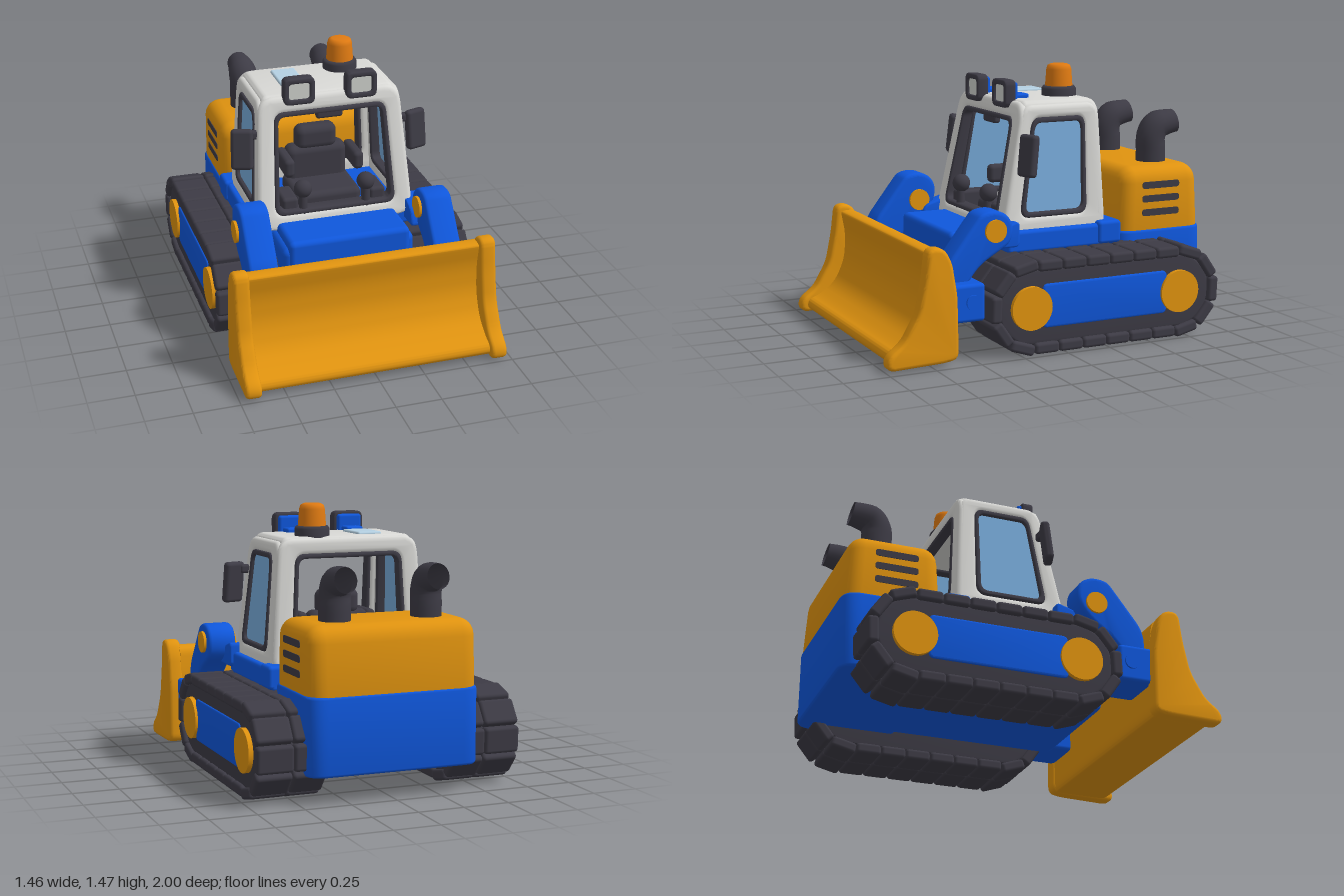
import * as THREE from 'three';
import { toCreasedNormals } from 'three/addons/utils/BufferGeometryUtils.js';
import { RoundedBoxGeometry } from 'three/addons/geometries/RoundedBoxGeometry.js';

const mat = (name, color, side = THREE.FrontSide) =>
  Object.assign(new THREE.MeshStandardMaterial({ color, side }), { name });

export function createModel() {
  const model = new THREE.Group();
  model.name = 'bulldozer';
  const blue = mat('blue paint', 0x0f57dc);
  const orange = mat('orange paint', 0xe0930f);
  const dark = mat('dark rubber', 0x3d3b45, THREE.DoubleSide);
  const white = mat('cab white', 0xd9d9d6);
  const glass = mat('window glass', 0x78acdb, THREE.DoubleSide);
  const sky = mat('skylight glass', 0xb4d0e2);
  const lens = mat('lamp lens', 0xcfd2cd);
  const amber = mat('beacon amber', 0xdf7a12);

  const add = (name, geo, material, parent = model) => {
    const m = new THREE.Mesh(geo, material);
    m.name = name;
    parent.add(m);
    return m;
  };
  // rounded box given by its limits
  const boxGeo = (x0, x1, y0, y1, z0, z1, r) => {
    const g = new RoundedBoxGeometry(Math.abs(x1 - x0), y1 - y0, z1 - z0, 3, r);
    return g.translate((x0 + x1) / 2, (y0 + y1) / 2, (z0 + z1) / 2);
  };
  const box = (name, m, x0, x1, y0, y1, z0, z1, r = 0.02) => add(name, boxGeo(x0, x1, y0, y1, z0, z1, r), m);
  // closed outline with rounded corners
  const outline = (pts, r, path = new THREE.Shape()) => {
    const v = pts.map(p => new THREE.Vector2(...p));
    v.forEach((p, i) => {
      const a = v[(i + v.length - 1) % v.length], b = v[(i + 1) % v.length];
      const toward = q => p.clone().lerp(q, Math.min(0.5, r / p.distanceTo(q)));
      const s = toward(a), e = toward(b);
      if (i) path.lineTo(s.x, s.y); else path.moveTo(s.x, s.y);
      path.quadraticCurveTo(p.x, p.y, e.x, e.y);
    });
    path.closePath();
    return path;
  };
  const rect = (a0, a1, b0, b1) => [[a0, b0], [a1, b0], [a1, b1], [a0, b1]];
  // bevelled slab, centred on its depth
  const slab = (shape, d, b = 0) => {
    const g = new THREE.ExtrudeGeometry(shape, {
      depth: d - 2 * b, bevelEnabled: b > 0, bevelSize: b, bevelThickness: b,
      bevelOffset: -b, bevelSegments: 3, curveSegments: 8,
    });
    return g.translate(0, 0, b - d / 2);
  };
  // slab whose outline is given as (z, y), centred at x
  const sideSlab = (shape, d, b, x) =>
    toCreasedNormals(slab(shape, d, b).rotateY(-Math.PI / 2).translate(x, 0, 0), 0.6);
  const reshape = (g, fn) => {
    const p = g.attributes.position, v = new THREE.Vector3();
    for (let i = 0; i < p.count; i++) {
      fn(v.fromBufferAttribute(p, i));
      p.setXYZ(i, v.x, v.y, v.z);
    }
    return toCreasedNormals(g, 0.6);
  };
  const disc = (r, h, x, y, z) =>
    new THREE.CylinderGeometry(r, r, h, 32).rotateZ(Math.PI / 2).translate(x, y, z);

  // chassis
  box('chassis', blue, -0.37, 0.37, 0.14, 0.56, -0.8, 0.48, 0.04);
  box('front deck', blue, -0.34, 0.34, 0.4, 0.605, 0.18, 0.495, 0.03);
  box('cab sill', blue, -0.48, 0.48, 0.49, 0.61, -0.46, 0.22);
  box('rear sill block', blue, -0.495, 0.495, 0.5, 0.625, -0.46, -0.32);
  const plan = outline(rect(-0.475, 0.475, 0.46, 1), 0.1);
  add('rear body', toCreasedNormals(slab(plan, 0.41, 0.015).rotateX(-Math.PI / 2).translate(0, 0.345, 0), 0.6), blue);

  // engine hood, narrowing in depth toward the top
  add('engine hood', reshape(boxGeo(-0.466, 0.466, 0.44, 0.9, -0.995, -0.465, 0.09), v => {
    const t = Math.max(0, (v.y - 0.55) / 0.35);
    v.z = -0.725 + (v.z + 0.725) * (1 - 0.09 * t);
  }), orange);

  // tracks
  const zf = 0.18, zb = -0.69, R = 0.22, straight = zf - zb, arc = Math.PI * R;
  const stadium = r => {
    const s = new THREE.Shape();
    s.absarc(zf, 0.25, r, -Math.PI / 2, Math.PI / 2);
    s.absarc(zb, 0.25, r, Math.PI / 2, Math.PI * 1.5);
    s.closePath();
    return s;
  };
  const shoes = 22, pitch = (2 * straight + 2 * arc) / shoes;
  const trackPoint = d => {
    if (d < straight) return [zb + d, 0.25 + R, 0];
    d -= straight;
    if (d < arc) return [zf + R * Math.sin(d / R), 0.25 + R * Math.cos(d / R), d / R];
    d -= arc;
    if (d < straight) return [zf - d, 0.25 - R, Math.PI];
    d = (d - straight) / R;
    return [zb - R * Math.sin(d), 0.25 - R * Math.cos(d), Math.PI + d];
  };

  for (const s of [-1, 1]) {
    const side = s > 0 ? 'left ' : 'right ';
    const track = new THREE.Group();
    track.name = side + 'track';
    model.add(track);
    add('track core', sideSlab(stadium(0.2), 0.33, 0.01, s * 0.54), dark, track);
    for (let i = 0; i < shoes; i++) {
      const [z, y, a] = trackPoint((i + 0.5) * pitch);
      for (const [x, w] of [[0.44, 0.18], [0.631, 0.198]]) {
        const shoe = add('track shoe', new RoundedBoxGeometry(w, 0.06, pitch * 0.99, 2, 0.018), dark, track);
        shoe.position.set(s * x, y, z);
        shoe.rotation.x = a;
      }
    }
    const panel = outline(rect(-0.62, 0.13, 0.135, 0.37), 0.03);
    add('track panel', sideSlab(panel, 0.06, 0.01, s * 0.685), blue, track);
    for (const z of [0.2, -0.695]) add('track wheel', disc(0.116, 0.08, s * 0.69, 0.25, z), orange, track);

    // hood vents
    for (const y of [0.645, 0.722, 0.797])
      add(side + 'vent', sideSlab(outline(rect(-0.84, -0.605, y - 0.019, y + 0.019), 0.018), 0.009, 0, s * 0.465), dark);

    // exhaust with bent, open outlet
    const bend = new THREE.CatmullRomCurve3([[0.86, -0.78], [0.95, -0.78], [1.04, -0.782], [1.09, -0.81],
      [1.107, -0.86], [1.118, -0.925]].map(([y, z]) => new THREE.Vector3(s * 0.255, y, z)));
    add(side + 'exhaust', reshape(new THREE.TubeGeometry(bend, 24, 0.083, 20).toNonIndexed(), v => {
      const k = Math.min(1, Math.max(0, (-v.z - 0.8) / 0.12)) * (v.y > 1 ? 1 : 0);
      v.x = s * 0.255 + (v.x - s * 0.255) * (1 - 0.25 * k);
      v.y += (1.115 - v.y) * 0.2 * k;
    }), dark);

    // lift arm: the right one stands a little higher
    const h = s < 0 ? 0.05 : 0;
    const arm = outline([[0.63, 0.48 + h], [0.46, 0.7 + h], [0.42, 0.75 + h], [0.31, 0.755 + h], [0.24, 0.69 + h],
      [0.25, 0.58 + h], [0.34, 0.53], [0.44, 0.47], [0.52, 0.36], [0.63, 0.25]], 0.07);
    add(side + 'lift arm', sideSlab(arm, 0.16, 0.02, s * 0.515), blue);
    add(side + 'arm pin', disc(0.06, 0.19, s * 0.515, 0.65, 0.35), orange);
    const foot = outline([[0.16, 0.53], [0.36, 0.53], [0.32, 0.62], [0.16, 0.67]], 0.03);
    add(side + 'arm bracket', sideSlab(foot, 0.1, 0.01, s * 0.45), blue);
    box(side + 'push link', blue, s * 0.4, s * 0.67, 0.2, 0.4, 0.44, 0.64, 0.02);
    add(side + 'link pin', disc(0.04, 0.02, s * 0.67, 0.305, 0.51), blue);

    // blade end plate
    const plate = outline([[0.69, 0.615], [0.645, 0.54], [0.615, 0.36], [0.61, 0.03], [0.68, 0.015], [1, 0.005],
      [1, 0.075], [0.91, 0.14], [0.83, 0.28], [0.795, 0.45], [0.775, 0.615]], 0.045);
    add(side + 'blade plate', sideSlab(plate, 0.088, 0.02, s * 0.677), orange);

    // mirror and its stalk
    const mirror = add(side + 'mirror', new RoundedBoxGeometry(0.12, 0.225, 0.05, 3, 0.02), dark);
    mirror.position.set(s * 0.495, 1.013, 0.11);
    mirror.rotation.set(-0.12, s * 0.3, s * 0.04);
    box(side + 'mirror stalk', dark, s * 0.38, s * 0.46, 1.06, 1.11, 0.08, 0.12, 0.015);

    // roof lamp
    const x = s * 0.175;
    box(side + 'lamp foot', blue, x - 0.05, x + 0.05, 1.27, 1.31, -0.03, 0.08, 0.012);
    box(side + 'lamp back', blue, x - 0.07, x + 0.07, 1.255, 1.375, 0.045, 0.085, 0.015);
    const rim = outline(rect(x - 0.087, x + 0.087, 1.24, 1.39), 0.035);
    rim.holes.push(outline(rect(x - 0.058, x + 0.058, 1.27, 1.36), 0.02, new THREE.Path()));
    add(side + 'lamp rim', toCreasedNormals(slab(rim, 0.065, 0.01).translate(0, 0, 0.1), 0.6), dark);
    box(side + 'lamp lens', lens, x - 0.062, x + 0.062, 1.265, 1.365, 0.08, 0.12, 0.005);

    // armrest, console and lever
    box(side + 'armrest', dark, s * 0.17, s * 0.23, 0.76, 0.865, -0.2, 0.02, 0.025);
    box(side + 'console', dark, s * 0.205, s * 0.295, 0.58, 0.725, 0.02, 0.2, 0.02);
    add(side + 'lever', new THREE.CylinderGeometry(0.02, 0.028, 0.19, 16).translate(s * 0.18, 0.68, 0.2), dark);
    add(side + 'lever knob', new THREE.SphereGeometry(0.05, 20, 14).translate(s * 0.18, 0.775, 0.195), dark);
  }

  // blade sheet
  const sheet = outline([[0.65, 0.585], [0.625, 0.4], [0.625, 0.03], [0.66, 0.02], [0.965, 0.015], [0.965, 0.08],
    [0.9, 0.1], [0.8, 0.17], [0.74, 0.3], [0.73, 0.45], [0.75, 0.55], [0.755, 0.585]], 0.06);
  add('blade sheet', sideSlab(sheet, 1.29, 0, 0), orange);

  // cab walls are made upright, then leaned inward toward the roof
  const lean = v => {
    const t = (v.y - 0.55) / 0.73, u = (v.z + 0.39) / 0.64;
    const back = -0.39 + 0.03 * t, front = 0.25 - 0.15 * t;
    v.x *= 1 - 0.11 * t;
    v.z = back + (front - back) * u;
  };
  const framed = (outer, rO, inner, rI) => {
    const s = outline(outer, rO);
    s.holes.push(outline(inner, rI, new THREE.Path()));
    return s;
  };
  const win = i => rect(-0.27 + i, 0.15 - i, 0.67 + i, 1.2 - i);
  for (const s of [-1, 1]) {
    const lay = (name, shape, d, b, x, m) =>
      add(name, reshape(slab(shape, d, b).rotateY(-Math.PI / 2).translate(s * x, 0, 0), lean), m);
    lay('cab side wall', framed(rect(-0.385, 0.245, 0.56, 1.265), 0.09, win(0.005), 0.06), 0.07, 0.025, 0.415, white);
    lay('side window seal', framed(win(0), 0.06, win(0.028), 0.045), 0.085, 0.01, 0.414, dark);
    lay('side window', outline(win(0.02), 0.05), 0.009, 0, 0.43, glass);
  }
  const ends = [['front', 0.215, 0.64, 0.35], ['rear', -0.355, 0.68, 0.34]];
  for (const [end, z, y0, w] of ends) {
    const open = i => rect(-w + i, w - i, y0 + i, 1.2 - i);
    const lay = (name, shape, d, b, m) => add(name, reshape(slab(shape, d, b).translate(0, 0, z), lean), m);
    lay(end + ' cab frame', framed(rect(-0.45, 0.45, 0.56, 1.28), 0.1, open(0.005), 0.06), 0.07, 0.025, white);
    lay(end + ' window seal', framed(open(0), 0.06, open(0.026), 0.045), 0.078, 0.01, dark);
  }
  add('cab roof', reshape(boxGeo(-0.425, 0.425, 1.19, 1.287, -0.375, 0.235, 0.045), lean), white);
  box('sun visor', dark, -0.075, 0.075, 1.135, 1.19, 0.07, 0.11, 0.015);
  box('skylight', sky, -0.23, -0.09, 1.27, 1.3, -0.275, -0.05, 0.012);

  // seat
  box('seat cushion', dark, -0.19, 0.19, 0.6, 0.69, -0.22, 0.1, 0.035);
  box('seat back', dark, -0.175, 0.175, 0.62, 0.875, -0.24, -0.12, 0.045);
  box('headrest', dark, -0.12, 0.12, 0.845, 0.99, -0.235, -0.125, 0.045);

  // beacon
  const beacon = (name, pts, m) =>
    add(name, new THREE.LatheGeometry(pts.map(p => new THREE.Vector2(...p)), 32).translate(0.165, 0, -0.24), m);
  beacon('beacon base', [[0.095, 1.27], [0.095, 1.325], [0.085, 1.34], [0, 1.34]], dark);
  beacon('beacon light', [[0.076, 1.335], [0.069, 1.43], [0.062, 1.452], [0.045, 1.46], [0, 1.46]], amber);

  return model;
}
